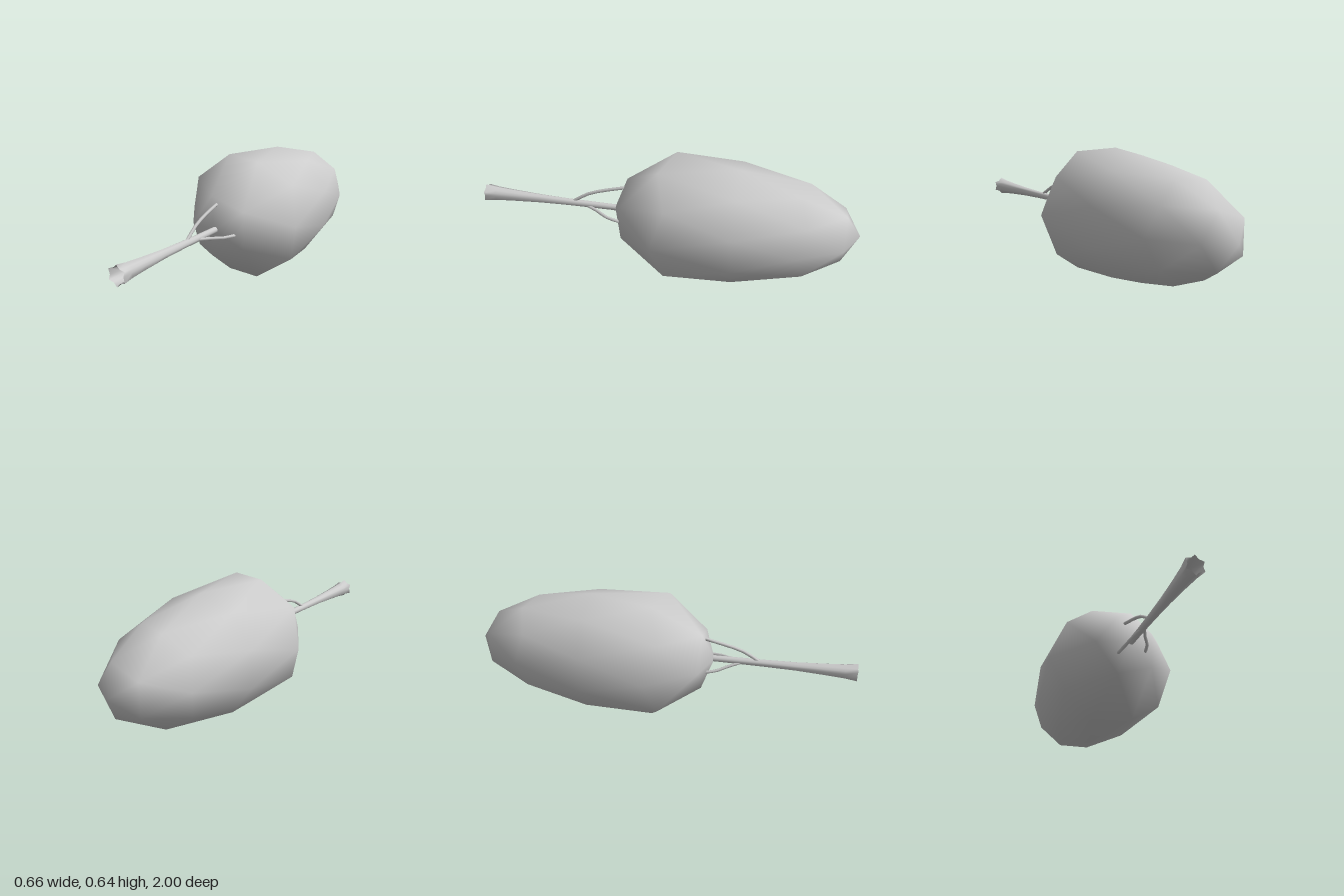
import * as THREE from 'three';
import { mergeVertices } from 'three/addons/utils/BufferGeometryUtils.js';

const CX = 0.005, CY = 0.324; // axis of the tree, which lies along z

// Weld shared corners and shade smoothly
function smooth(geometry) {
  geometry.deleteAttribute('uv');
  geometry.deleteAttribute('normal');
  const welded = mergeVertices(geometry, 1e-4);
  welded.computeVertexNormals();
  return welded;
}

// Icosphere with a pole on +z, each level moved to its own z and radius
function crownGeometry() {
  const geo = new THREE.IcosahedronGeometry(1, 1);
  geo.rotateX(Math.atan(2 / (1 + Math.sqrt(5))));
  geo.rotateZ(-Math.PI / 2);
  const levels = [ // sphere z, crown z, crown radius
    [-1, -1, 0], [-0.851, -0.92, 0.144], [-0.526, -0.73, 0.245],
    [-0.447, -0.69, 0.255], [0, -0.38, 0.315], [0.447, -0.04, 0.336],
    [0.526, 0.02, 0.324], [0.851, 0.215, 0.165], [1, 0.275, 0],
  ];
  const p = geo.attributes.position;
  for (let i = 0; i < p.count; i++) {
    const z = p.getZ(i);
    const [, newZ, r] = levels.reduce((a, b) => (Math.abs(b[0] - z) < Math.abs(a[0] - z) ? b : a));
    const angle = Math.atan2(p.getY(i), p.getX(i));
    p.setXYZ(i, CX + r * Math.cos(angle), CY + r * Math.sin(angle), newZ);
  }
  return smooth(geo);
}

// Open trunk: round near the crown, flaring to a six-pointed star at the foot
function trunkGeometry() {
  const profile = [[0.016, 0.23], [0.017, 0.4], [0.02, 0.55], [0.025, 0.7], [0.034, 0.85], [0.041, 0.94], [0.05, 1]];
  const geo = new THREE.LatheGeometry(profile.map(([r, z]) => new THREE.Vector2(r, z)), 12);
  geo.rotateX(Math.PI / 2);
  const p = geo.attributes.position;
  for (let i = 0; i < p.count; i++) {
    const side = Math.floor(i / profile.length);
    const flare = THREE.MathUtils.clamp((p.getZ(i) - 0.4) / 0.6, 0, 1);
    const k = side % 2 ? 1 - 0.28 * flare : 1;
    p.setXY(i, CX + 0.002 + p.getX(i) * k, CY + 0.001 + p.getY(i) * k);
  }
  return smooth(geo);
}

function branchGeometry(points) {
  const curve = new THREE.CatmullRomCurve3(points.map((q) => new THREE.Vector3(...q)));
  return smooth(new THREE.TubeGeometry(curve, 6, 0.0085, 6));
}

export function createModel() {
  const group = new THREE.Group();
  const material = new THREE.MeshStandardMaterial({ color: 0xcccccc, side: THREE.DoubleSide });
  const add = (name, geometry) => {
    const mesh = new THREE.Mesh(geometry, material);
    mesh.name = name;
    group.add(mesh);
  };

  add('crown', crownGeometry());
  add('trunk', trunkGeometry());

  // Branches leave the trunk and run into the crown
  [
    ['upperBranch', [[0.006, 0.332, 0.51], [0, 0.388, 0.42], [-0.005, 0.415, 0.34], [-0.01, 0.445, 0.225]]],
    ['leftBranch', [[0.01, 0.322, 0.44], [0.04, 0.314, 0.37], [0.08, 0.305, 0.3], [0.097, 0.3, 0.225]]],
    ['rightBranch', [[0.003, 0.32, 0.42], [-0.02, 0.3, 0.35], [-0.04, 0.278, 0.29], [-0.05, 0.268, 0.23]]],
  ].forEach(([name, points]) => add(name, branchGeometry(points)));

  return group;
}
